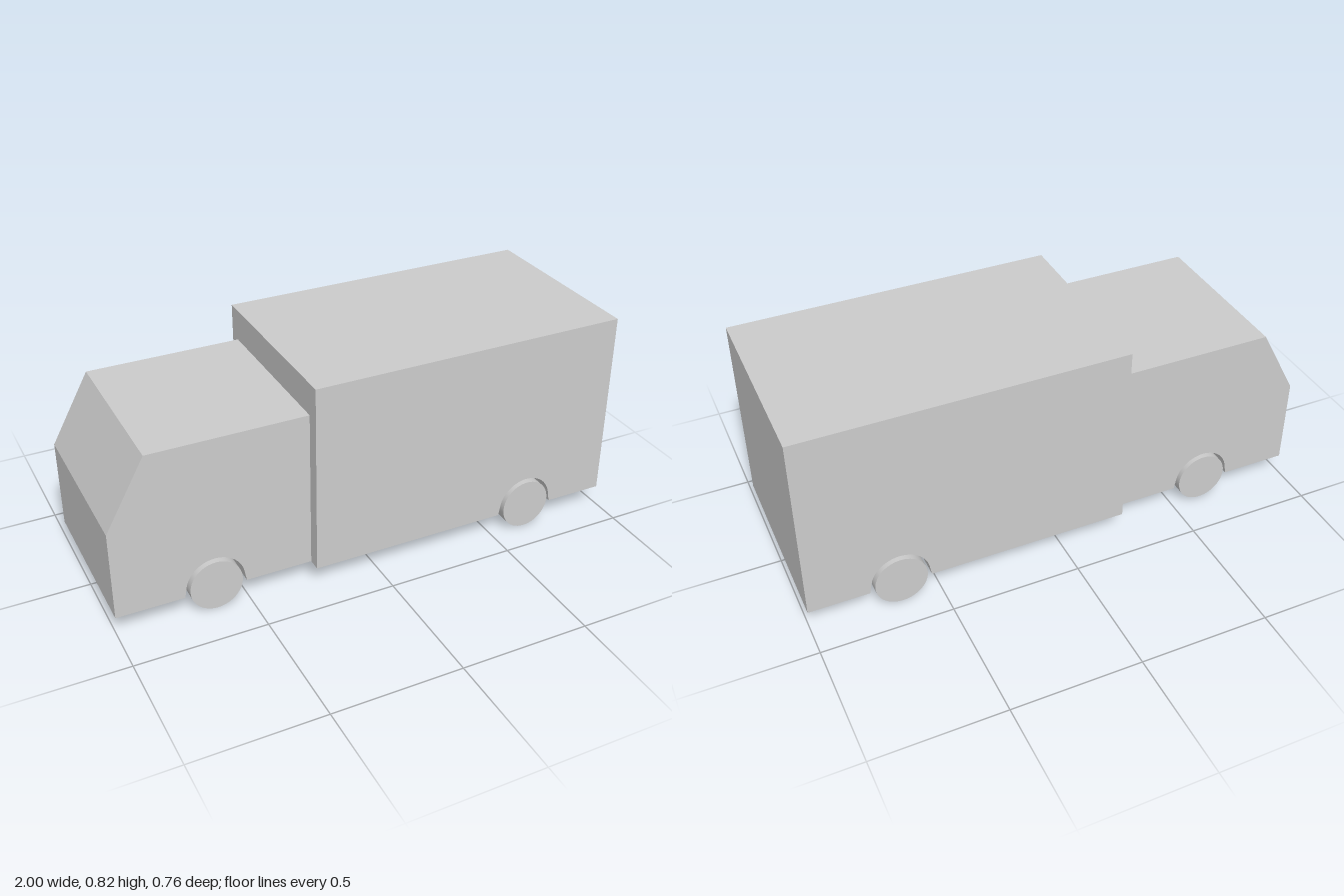
import * as THREE from 'three';

const FLOOR = 0.078, WHEEL_R = 0.1, ARCH_R = 0.1125;
const FRONT_AXLE = -0.625, REAR_AXLE = 0.65;

export function createModel() {
  const truck = new THREE.Group();
  truck.name = 'boxTruck';
  const material = new THREE.MeshStandardMaterial({ color: 0xcccccc });

  // Side outline with a wheel arch cut in the floor, extruded across the width
  function body(name, outline, x0, x1, axle, halfWidth) {
    const lean = THREE.MathUtils.degToRad(12);
    const shape = new THREE.Shape();
    shape.moveTo(x0, FLOOR);
    shape.lineTo(axle - 0.118, FLOOR);
    shape.absarc(axle, WHEEL_R, ARCH_R, Math.PI - lean, lean, true);
    shape.lineTo(axle + 0.118, FLOOR);
    shape.lineTo(x1, FLOOR);
    outline.forEach(([x, y]) => shape.lineTo(x, y));
    shape.closePath();
    const geometry = new THREE.ExtrudeGeometry(shape, {
      depth: halfWidth * 2, bevelEnabled: false, curveSegments: 14,
    });
    geometry.translate(0, 0, -halfWidth);
    const mesh = new THREE.Mesh(geometry, material);
    mesh.name = name;
    truck.add(mesh);
  }

  // Cab with sloping windscreen, and the taller, wider cargo box
  body('cab', [[-0.25, 0.7], [-0.85, 0.7], [-1, 0.428]], -1, -0.25, FRONT_AXLE, 0.325);
  body('cargoBox', [[1, 0.825], [-0.25, 0.825]], -0.25, 1, REAR_AXLE, 0.375);

  // Wheels, standing just proud of the body sides
  const width = 0.0625;
  const wheelGeometry = new THREE.CylinderGeometry(WHEEL_R, WHEEL_R, width, 48);
  wheelGeometry.rotateX(Math.PI / 2);
  for (const [label, x, outerZ] of [['front', FRONT_AXLE, 0.3325], ['rear', REAR_AXLE, 0.3825]]) {
    for (const side of [-1, 1]) {
      const wheel = new THREE.Mesh(wheelGeometry, material);
      wheel.name = `${label}Wheel${side > 0 ? 'NearSide' : 'FarSide'}`;
      wheel.position.set(x, WHEEL_R, side * (outerZ - width / 2));
      truck.add(wheel);
    }
  }
  return truck;
}
